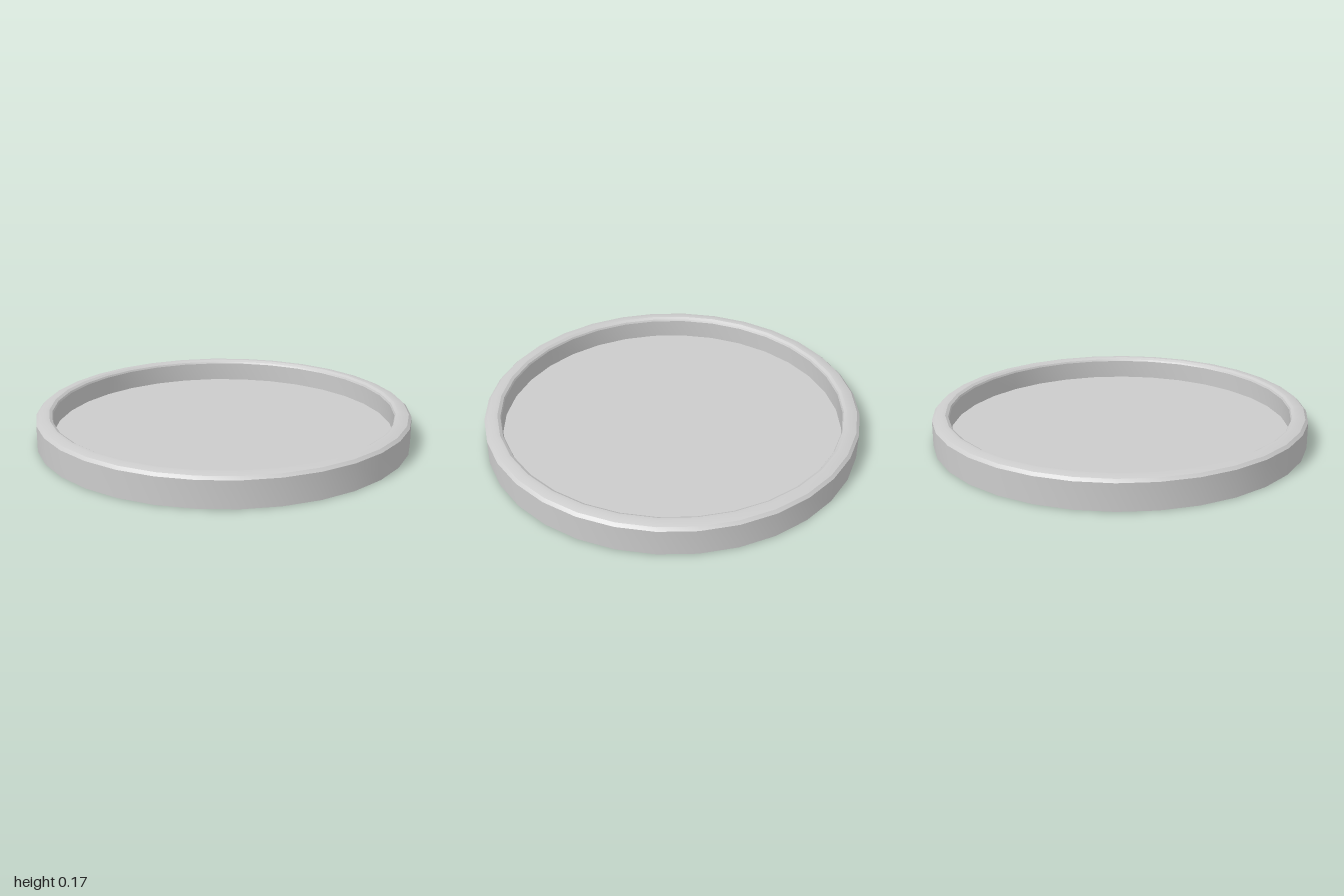
import * as THREE from 'three';
import { toCreasedNormals } from 'three/addons/utils/BufferGeometryUtils.js';

const SIDES = 32;

// Turns a [radius, height] profile around the y axis
function turned(name, profile, material) {
  const points = profile.map(([r, y]) => new THREE.Vector2(r, y));
  const geometry = toCreasedNormals(new THREE.LatheGeometry(points, SIDES), Math.PI / 7);
  const mesh = new THREE.Mesh(geometry, material);
  mesh.name = name;
  return mesh;
}

export function createModel() {
  const model = new THREE.Group();
  model.name = 'roundTray';
  const grey = new THREE.MeshStandardMaterial({ color: 0xcccccc });

  // Flat underside
  model.add(turned('base', [[0, 0], [1, 0]], grey));

  // Outer wall, softened lip and inner wall
  model.add(turned('rim', [
    [1, 0], [1, 0.14], [0.985, 0.155], [0.95, 0.165],
    [0.93, 0.164], [0.915, 0.155], [0.91, 0.145], [0.912, 0.042],
  ], grey));

  // Recessed floor
  model.add(turned('floor', [[0.912, 0.042], [0, 0.042]], grey));

  return model;
}
